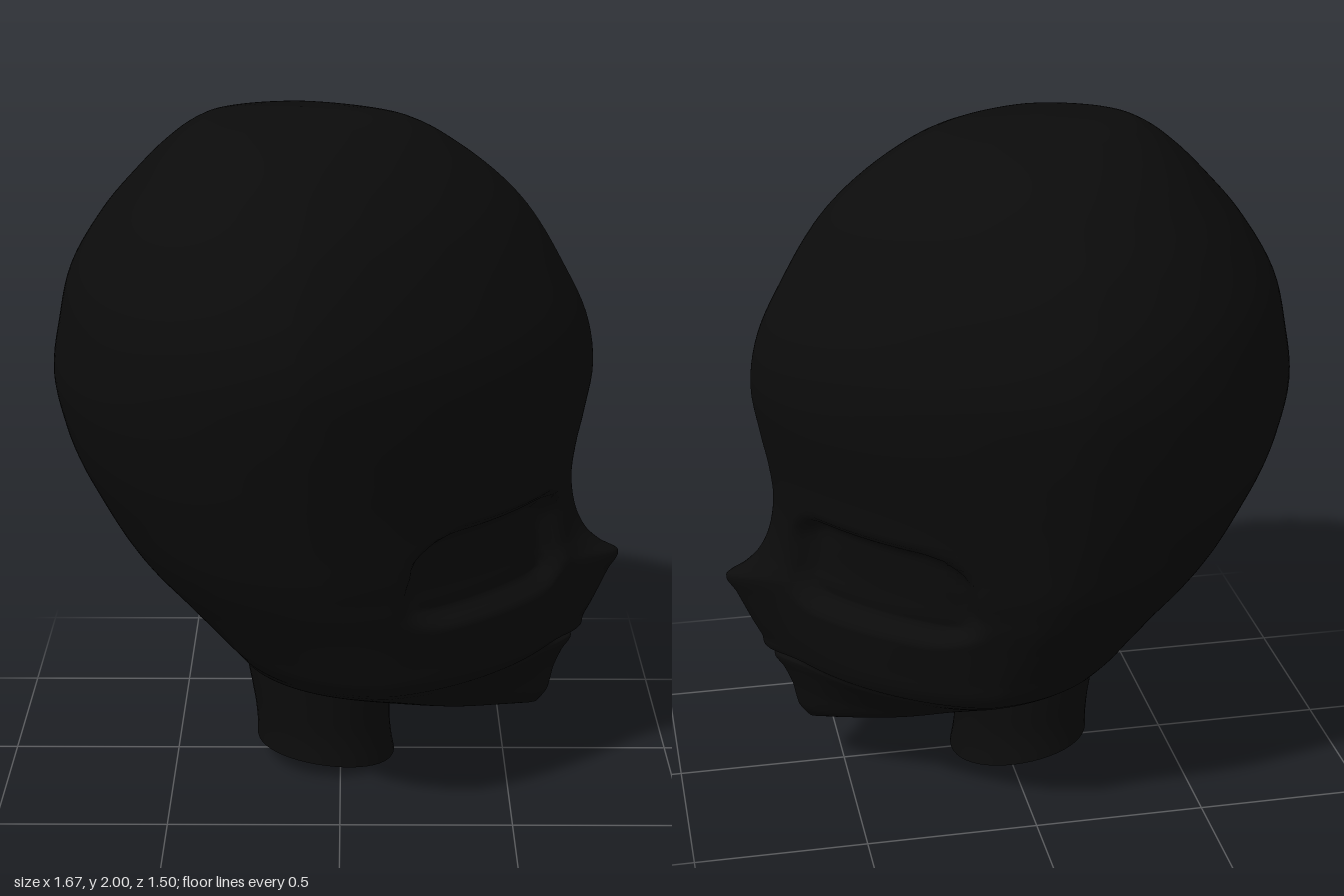
import * as THREE from 'three';

// Head sections from chin to crown: y, face x, back x, half width, ridge (nose / lips)
const HEAD = [
  [0.16, 0.6, 0.53, 0.015, 0], [0.2, 0.63, 0.36, 0.11, 0], [0.235, 0.635, 0.1, 0.2, 0.005],
  [0.28, 0.64, -0.13, 0.28, 0.01], [0.34, 0.65, -0.29, 0.39, 0.025], [0.385, 0.66, -0.32, 0.47, 0.04],
  [0.4, 0.66, -0.335, 0.49, 0.01], [0.41, 0.67, -0.34, 0.505, 0.05], [0.45, 0.68, -0.375, 0.535, 0.055],
  [0.5, 0.69, -0.42, 0.55, 0.07], [0.6, 0.7, -0.51, 0.585, 0.105], [0.66, 0.7, -0.565, 0.61, 0.133],
  [0.69, 0.7, -0.59, 0.622, 0.08], [0.73, 0.69, -0.62, 0.636, 0.045], [0.8, 0.685, -0.665, 0.66, 0.015],
  [0.9, 0.685, -0.72, 0.68, 0], [1, 0.695, -0.77, 0.7, 0], [1.1, 0.715, -0.805, 0.718, 0],
  [1.25, 0.737, -0.833, 0.74, 0], [1.4, 0.712, -0.812, 0.747, 0], [1.55, 0.64, -0.775, 0.71, 0],
  [1.7, 0.55, -0.685, 0.625, 0], [1.8, 0.46, -0.6, 0.535, 0], [1.9, 0.33, -0.5, 0.405, 0],
  [1.97, 0.2, -0.4, 0.24, 0], [1.99, 0.09, -0.32, 0.11, 0], [2, -0.1, -0.12, 0.01, 0],
];

// Neck sections: y, front x, back x, half width
const NECK = [
  [0, 0.165, -0.255, 0.215], [0.06, 0.155, -0.255, 0.205], [0.12, 0.15, -0.258, 0.2],
  [0.2, 0.15, -0.265, 0.2], [0.34, 0.15, -0.288, 0.2], [0.46, 0.12, -0.29, 0.2],
];

// Smooth interpolation between table rows
function refine(rows, steps) {
  const slope = (i, k) => {
    const a = rows[Math.max(i - 1, 0)], b = rows[Math.min(i + 1, rows.length - 1)];
    return (b[k] - a[k]) / (b[0] - a[0]);
  };
  const out = [];
  for (let i = 0; i < rows.length - 1; i++) {
    const h = rows[i + 1][0] - rows[i][0];
    for (let s = 0; s < steps; s++) {
      const t = s / steps, t2 = t * t, t3 = t2 * t;
      out.push(rows[i].map((v, k) => (k === 0 ? v + h * t
        : v * (2 * t3 - 3 * t2 + 1) + slope(i, k) * h * (t3 - 2 * t2 + t)
          + rows[i + 1][k] * (3 * t2 - 2 * t3) + slope(i + 1, k) * h * (t3 - t2))));
    }
  }
  out.push(rows[rows.length - 1]);
  return out;
}

// Skins closed rings, ordered bottom to top, and closes both ends
function loft(rings) {
  const n = rings[0].length;
  const cap = (ring) => {
    const c = ring.reduce((s, p) => s.add(p), new THREE.Vector3()).divideScalar(n);
    return ring.map(() => c);
  };
  const first = rings[0], last = rings[rings.length - 1];
  const all = [cap(first), first, ...rings, last, cap(last)];
  const index = [];
  for (let i = 0; i < all.length - 1; i++) {
    if (i === 1 || i === all.length - 3) continue; // hard edge between wall and cap
    for (let j = 0; j < n; j++) {
      const a = i * n + j, b = i * n + ((j + 1) % n);
      index.push(a, a + n, b, b, a + n, b + n);
    }
  }
  const geometry = new THREE.BufferGeometry().setFromPoints(all.flat());
  geometry.setIndex(index);
  geometry.computeVertexNormals();
  return geometry;
}

// Depth of the rounded eye socket, seen along the face direction
function socket(y, z) {
  const r = 0.11;
  const dx = Math.abs(Math.abs(z) - 0.35) - 0.235 + r;
  const dy = Math.abs(y - 0.765) - 0.155 + r;
  const d = Math.hypot(Math.max(dx, 0), Math.max(dy, 0)) + Math.min(Math.max(dx, dy), 0) - r;
  return 0.06 * (1 - THREE.MathUtils.smoothstep(d, -0.05, 0));
}

// Round at the back, tapering to a narrow face at the front
function headRing([y, front, back, width, ridge]) {
  const ring = [], n = 160, centre = back + (front - back) * 0.46;
  for (let j = 0; j < n; j++) {
    const a = (j / n) * Math.PI * 2, c = Math.cos(a), s = Math.sin(a);
    const p = c > 0 ? 4 / 3 : 1;
    const u = Math.abs(c) ** p;
    let z = Math.sign(s) * Math.abs(s) ** p * width;
    let x = centre + (c > 0 ? (front - centre) * u : (back - centre) * u);
    if (c > 0) {
      const dent = socket(y, z);
      x += ridge * Math.exp(-((z / 0.075) ** 2)) - dent * 0.8;
      z -= Math.sign(z) * dent * 0.55;
    }
    ring.push(new THREE.Vector3(x, y, z));
  }
  return ring;
}

// Oval neck whose lower rim curves down toward the throat
function neckRing([y, front, back, width]) {
  const ring = [], n = 48;
  for (let j = 0; j < n; j++) {
    const a = (j / n) * Math.PI * 2, u = (Math.cos(a) + 1) / 2;
    const rim = 0.06 * (1 - u * u) * Math.max(0, 1 - y / 0.2);
    ring.push(new THREE.Vector3(back + (front - back) * u, y + rim, Math.sin(a) * width));
  }
  return ring;
}

export function createModel() {
  const model = new THREE.Group();
  const black = new THREE.MeshStandardMaterial({ color: 0x0b0b0b });
  black.name = 'black';

  const head = new THREE.Mesh(loft(refine(HEAD, 5).map(headRing)), black);
  head.name = 'head';
  const neck = new THREE.Mesh(loft(refine(NECK, 3).map(neckRing)), black);
  neck.name = 'neck';

  model.add(head, neck);
  return model;
}
